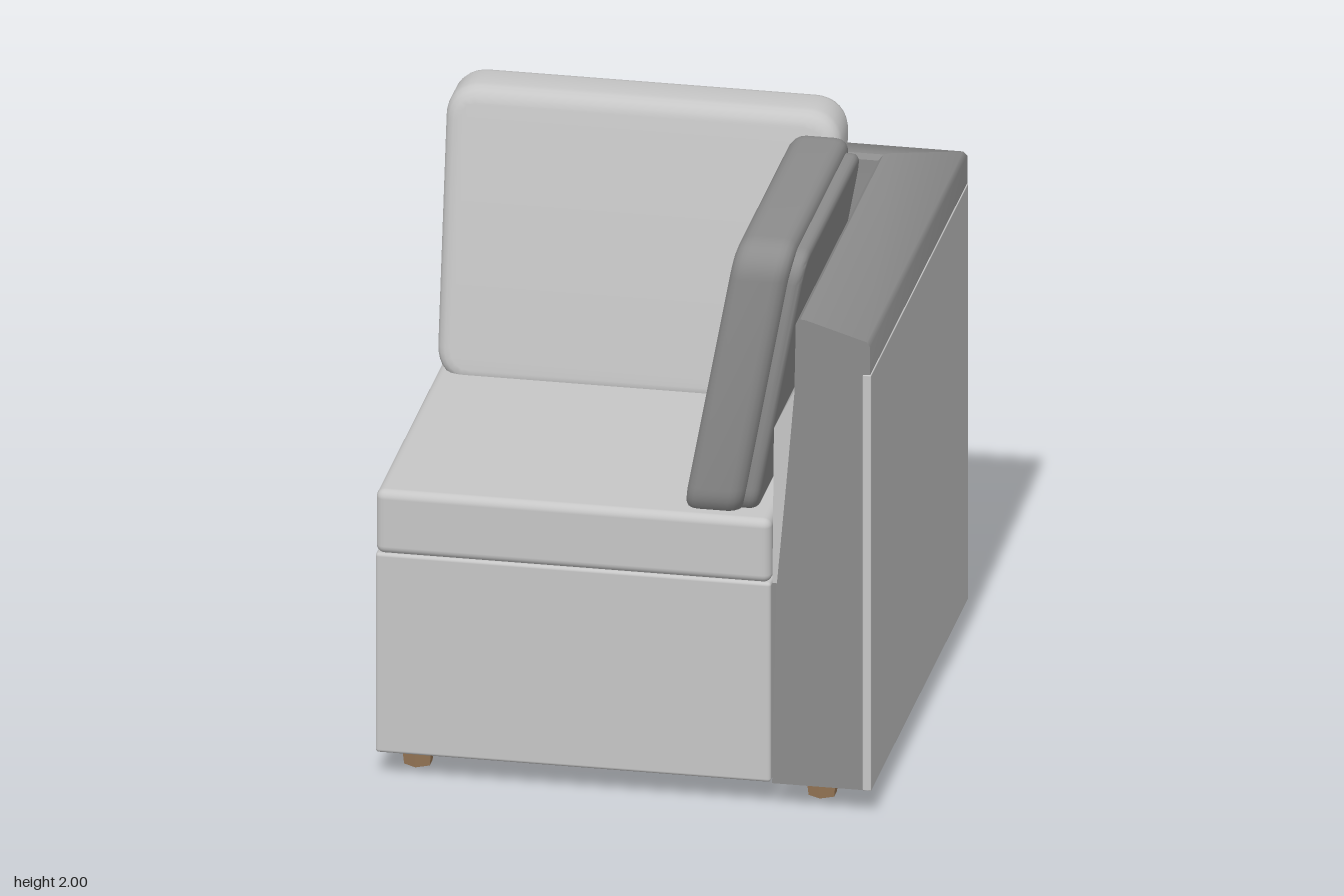
import * as THREE from 'three';
import { mergeVertices, toCreasedNormals } from 'three/addons/utils/BufferGeometryUtils.js';
import { RoundedBoxGeometry } from 'three/addons/geometries/RoundedBoxGeometry.js';

const material = (name, color) => {
  const m = new THREE.MeshStandardMaterial({ color });
  m.name = name;
  return m;
};

export function createModel() {
  const light = material('light fabric', 0xc6c6c6);
  const dark = material('dark fabric', 0x8c8c8c);
  const wood = material('leg wood', 0x9c7b59);
  const model = new THREE.Group();
  model.name = 'cornerSofa';

  const add = (name, geometry, mat, parent = model) => {
    const mesh = new THREE.Mesh(geometry, mat);
    mesh.name = name;
    parent.add(mesh);
    return mesh;
  };

  // Box given by its limits, with softened edges
  const block = (name, x, y, z, radius, mat) =>
    add(name, new RoundedBoxGeometry(x[1] - x[0], y[1] - y[0], z[1] - z[0], 3, radius), mat)
      .position.set((x[0] + x[1]) / 2, (y[0] + y[1]) / 2, (z[0] + z[1]) / 2);

  const moveVertices = (geometry, rule) => {
    const p = geometry.attributes.position;
    const v = new THREE.Vector3();
    for (let i = 0; i < p.count; i++) {
      rule(v.fromBufferAttribute(p, i));
      p.setXYZ(i, v.x, v.y, v.z);
    }
    return geometry;
  };

  const smooth = (geometry) => {
    geometry.deleteAttribute('normal');
    geometry.deleteAttribute('uv');
    return toCreasedNormals(mergeVertices(geometry, 1e-4), 0.7);
  };

  // Seat
  block('seatBase', [-0.84, 0.5], [0.09, 0.81], [-0.6, 0.83], 0.012, light);
  block('seatCushion', [-0.84, 0.5], [0.805, 1.035], [-0.55, 0.83], 0.03, light);

  // Arm and back share one sloped profile and meet in a mitre
  const profile = [[0.505, 0.09], [0.52, 0.8], [0.555, 1.2], [0.58, 1.5], [0.585, 1.755],
    [0.6, 1.772], [0.62, 1.77], [0.825, 1.708], [0.837, 1.69], [0.837, 0.09]];
  const wallShape = new THREE.Shape(profile.map(([x, y]) => new THREE.Vector2(x, y)));
  const wall = (name, mitreEnd) => {
    const g = new THREE.ExtrudeGeometry(wallShape, { depth: 1.67, bevelEnabled: false });
    g.translate(0, 0, -0.84);
    moveVertices(g, (v) => { if (v.z * mitreEnd > 0) v.z = mitreEnd * v.x; });
    return add(name, smooth(g), dark);
  };
  wall('arm', -1);
  wall('backrest', 1).rotation.y = Math.PI / 2;

  // Light outer side panel and inner lining of the arm
  block('armSidePanel', [0.812, 0.841], [0.09, 1.59], [-0.836, 0.834], 0.003, light);
  const lining = new THREE.Shape([[0.5, 0.8], [0.54, 0.8], [0.585, 1.5], [0.575, 1.5], [0.505, 1.36]]
    .map(([x, y]) => new THREE.Vector2(x, y)));
  const liningGeometry = new THREE.ExtrudeGeometry(lining, { depth: 1.35, bevelEnabled: false });
  add('armLining', liningGeometry.translate(0, 0, -0.55), light);

  // Leaning cushions: a rounded slab sheared backwards as it rises
  const slab = (x0, x1, y0, y1, z0, z1, radius, bevel) => {
    const a = x0 + bevel, b = x1 - bevel, c = y0 + bevel, d = y1 - bevel, r = radius;
    const s = new THREE.Shape();
    s.moveTo(a + r, c);
    s.lineTo(b - r, c);
    s.quadraticCurveTo(b, c, b, c + r);
    s.lineTo(b, d - r);
    s.quadraticCurveTo(b, d, b - r, d);
    s.lineTo(a + r, d);
    s.quadraticCurveTo(a, d, a, d - r);
    s.lineTo(a, c + r);
    s.quadraticCurveTo(a, c, a + r, c);
    const g = new THREE.ExtrudeGeometry(s, {
      depth: z1 - z0 - 2 * bevel, bevelThickness: bevel, bevelSize: bevel,
      bevelSegments: 4, curveSegments: 8,
    });
    g.translate(0, 0, z0 + bevel);
    moveVertices(g, (v) => { v.z -= 0.32 + 0.185 * (v.y - 1.03); });
    return smooth(g);
  };
  const cushion = (name, x0, x1, mat) => {
    const group = new THREE.Group();
    group.name = name;
    add(name + 'Body', slab(x0, x1, 1, 2, -0.07, 0.13, 0.07, 0.05), mat, group);
    add(name + 'Rear', slab(x0 + 0.04, x1 - 0.04, 1.01, 1.96, -0.115, 0.05, 0.07, 0.03), dark, group);
    model.add(group);
    return group;
  };
  cushion('backCushion', -0.84, 0.5, light);
  cushion('armCushion', -0.27, 0.8, dark).rotation.y = -Math.PI / 2;

  // Tapered six-sided legs
  for (const x of [-0.725, 0.645]) {
    for (const z of [-0.675, 0.67]) {
      const leg = add('leg', new THREE.CylinderGeometry(0.062, 0.05, 0.1, 6).toNonIndexed(), wood);
      leg.geometry.computeVertexNormals();
      leg.position.set(x, 0.05, z);
    }
  }
  return model;
}
